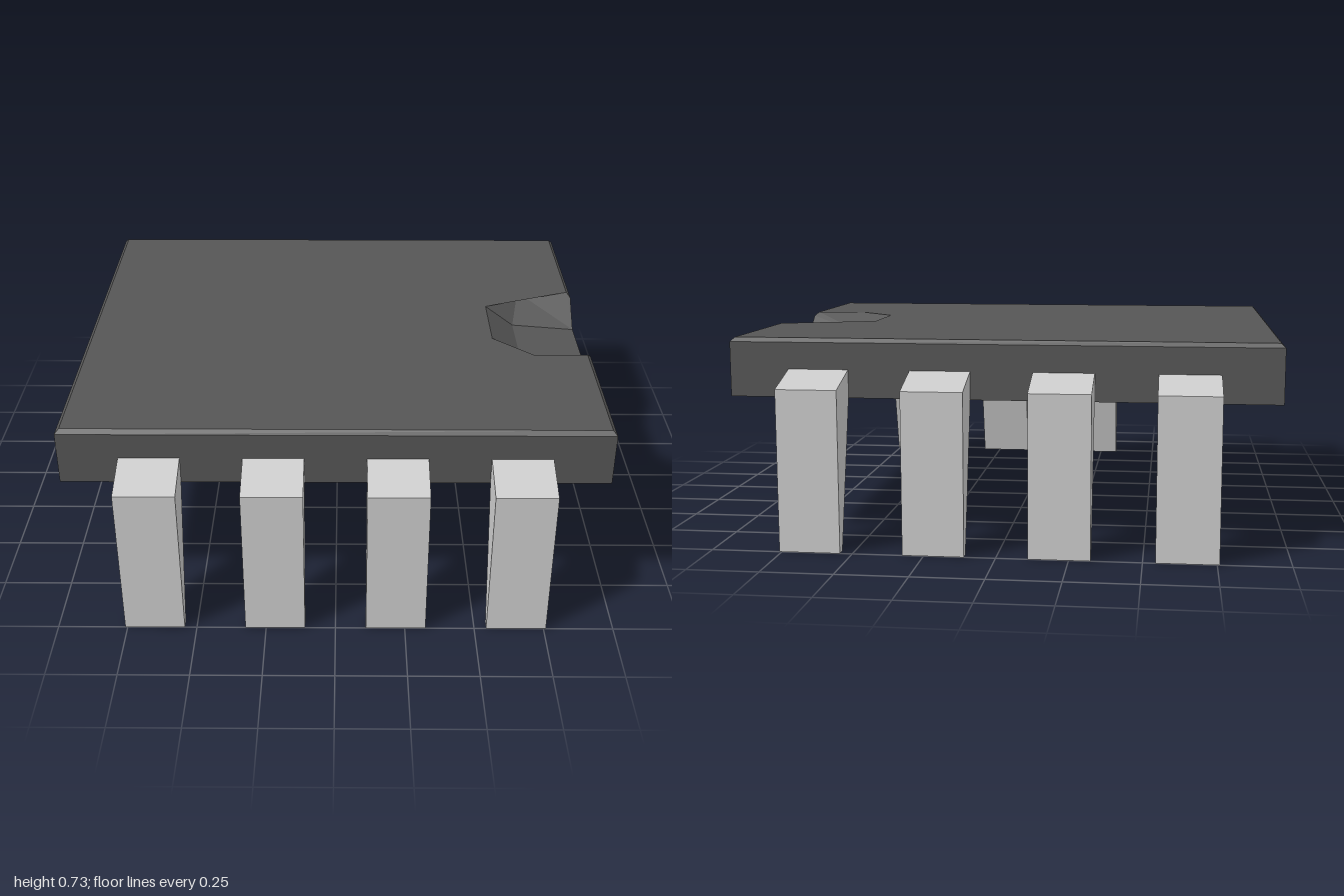
import * as THREE from 'three';

const bodyMat = new THREE.MeshStandardMaterial({ color: 0x555555, flatShading: true });
const legMat = new THREE.MeshStandardMaterial({ color: 0xcccccc, flatShading: true });

// Flat-faced mesh from polygons, each fanned from its first corner
function facesMesh(name, polygons) {
  const pos = [];
  for (const p of polygons)
    for (let i = 1; i < p.length - 1; i++) pos.push(...p[0], ...p[i], ...p[i + 1]);
  const geo = new THREE.BufferGeometry();
  geo.setAttribute('position', new THREE.Float32BufferAttribute(pos, 3));
  geo.computeVertexNormals();
  const mesh = new THREE.Mesh(geo, bodyMat);
  mesh.name = name;
  return mesh;
}

// The polygons plus their mirror images across z = 0
const mirrorZ = (polys) => [
  ...polys,
  ...polys.map((p) => p.map(([x, y, z]) => [x, y, -z]).reverse()),
];

function createBody() {
  const X = 0.97, Z = 0.835, bottom = 0.52, top = 0.73, c = 0.015;
  const xi = X - c, zi = Z - c, rim = top - c;
  // Notch: top opening, floor and where its flank meets the chamfered rim
  const back = 0.605, corner = 0.75, wide = 0.275, narrow = 0.14;
  const floorX = 0.72, floorIn = 0.645, floorOut = 0.625;
  const rimZ = narrow + (wide - narrow) * (rim - floorOut) / (top - floorOut);

  const shell = [
    // Underside, left-over end wall and its chamfer, main top face
    [[-X, bottom, -Z], [X, bottom, -Z], [X, bottom, Z], [-X, bottom, Z]],
    [[-X, bottom, -Z], [-X, bottom, Z], [-X, rim, Z], [-X, rim, -Z]],
    [[-X, rim, -Z], [-X, rim, Z], [-xi, top, zi], [-xi, top, -zi]],
    [[-xi, top, -zi], [-xi, top, zi], [back, top, zi], [back, top, -zi]],
    // Wall below the notch
    [[X, bottom, narrow], [X, bottom, -narrow], [X, floorOut, -narrow], [X, floorOut, narrow]],
    ...mirrorZ([
      // Long wall and chamfer
      [[-X, bottom, Z], [X, bottom, Z], [X, rim, Z], [-X, rim, Z]],
      [[-X, rim, Z], [X, rim, Z], [xi, top, zi], [-xi, top, zi]],
      // Top beside the notch
      [[corner, top, wide], [back, top, narrow], [back, top, zi], [xi, top, zi], [xi, top, wide]],
      // Notched end wall and chamfer
      [[X, bottom, narrow], [X, floorOut, narrow], [X, rim, rimZ], [X, rim, Z], [X, bottom, Z]],
      [[X, rim, Z], [X, rim, rimZ], [xi, top, wide], [xi, top, zi]],
    ]),
  ];

  const notch = [
    // Sloped back wall and floor
    [[back, top, -narrow], [back, top, narrow], [floorX, floorIn, narrow], [floorX, floorIn, -narrow]],
    [[floorX, floorIn, -narrow], [floorX, floorIn, narrow], [X, floorOut, narrow], [X, floorOut, -narrow]],
    // Corner facets and flanks
    ...mirrorZ([
      [[back, top, narrow], [corner, top, wide], [floorX, floorIn, narrow]],
      [[floorX, floorIn, narrow], [corner, top, wide], [xi, top, wide], [X, rim, rimZ], [X, floorOut, narrow]],
    ]),
  ];

  const body = new THREE.Group();
  body.name = 'body';
  body.add(facesMesh('casing', shell), facesMesh('notch', notch));
  return body;
}

// Tapered leg: side profile extruded across its width
function createLegGeometry() {
  const width = 0.215;
  const profile = new THREE.Shape(
    [[0.965, 0], [1, 0], [1, 0.57], [0.835, 0.62], [0.835, 0.52]].map(([z, y]) => new THREE.Vector2(z, y)),
  );
  return new THREE.ExtrudeGeometry(profile, { depth: width, bevelEnabled: false })
    .translate(0, 0, -width / 2)
    .rotateY(-Math.PI / 2);
}

export function createModel() {
  const model = new THREE.Group();
  model.name = 'chip';
  model.add(createBody());

  // Four legs along each long side
  const legGeo = createLegGeometry();
  for (const side of ['front', 'back']) {
    const row = new THREE.Group();
    row.name = side + 'Legs';
    for (let i = 0; i < 4; i++) {
      const leg = new THREE.Mesh(legGeo, legMat);
      leg.name = side + 'Leg' + (i + 1);
      leg.position.x = (i - 1.5) * 0.434;
      row.add(leg);
    }
    if (side === 'back') row.rotation.y = Math.PI;
    model.add(row);
  }
  return model;
}
